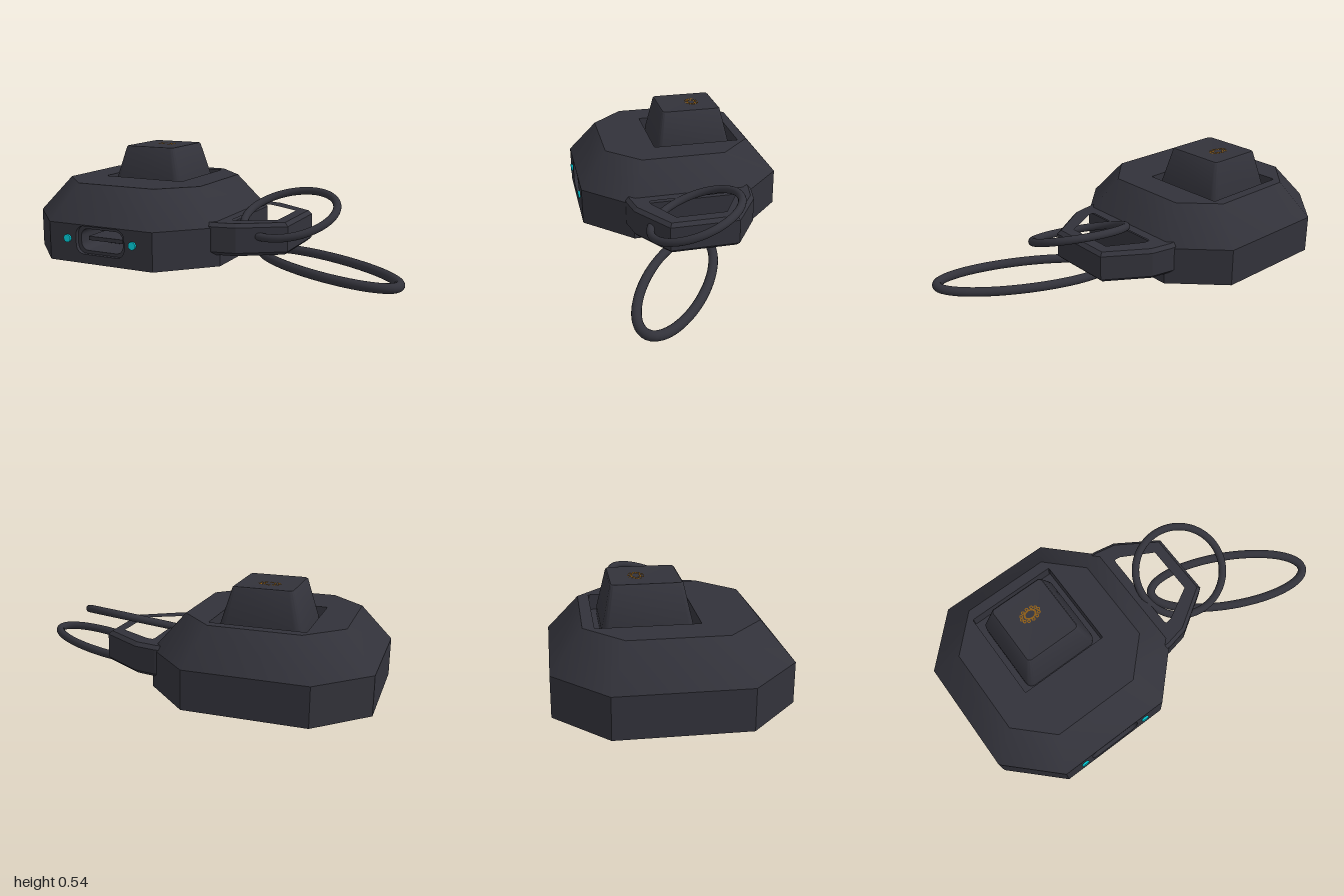
import * as THREE from 'three';
import { toCreasedNormals } from 'three/addons/utils/BufferGeometryUtils.js';

const paint = (name, color, side = THREE.FrontSide) => {
  const m = new THREE.MeshStandardMaterial({ color, side });
  m.name = name;
  return m;
};

// Rectangle with rounded corners (n steps each); n = 1 chamfers, r = half size gives a circle
function outline(hx, hz, r, n = 6, cx = 0, cz = 0) {
  const pts = [];
  [[1, 1], [-1, 1], [-1, -1], [1, -1]].forEach(([sx, sz], q) => {
    for (let i = 0; i <= n; i++) {
      const t = (q + i / n) * Math.PI / 2;
      pts.push([cx + sx * (hx - r) + r * Math.cos(t), cz + sz * (hz - r) + r * Math.sin(t)]);
    }
  });
  return pts;
}

// Skin between [y, outline] sections: rising sections face outward, falling ones inward
function loft(sections, skip = () => false) {
  const pos = [];
  for (let s = 0; s < sections.length - 1; s++) {
    const [y0, lo] = sections[s], [y1, hi] = sections[s + 1];
    for (let i = 0; i < lo.length; i++) {
      if (skip(s, i)) continue;
      const j = (i + 1) % lo.length;
      const a = [lo[i][0], y0, lo[i][1]], b = [lo[j][0], y0, lo[j][1]];
      const c = [hi[j][0], y1, hi[j][1]], d = [hi[i][0], y1, hi[i][1]];
      pos.push(...a, ...d, ...c, ...a, ...c, ...b);
    }
  }
  const g = new THREE.BufferGeometry();
  g.setAttribute('position', new THREE.Float32BufferAttribute(pos, 3));
  g.computeVertexNormals();
  return toCreasedNormals(g, 0.6);
}

const toVectors = pts => pts.map(p => new THREE.Vector2(p[0], p[1]));
function plate(pts, holes = []) {
  const s = new THREE.Shape(toVectors(pts));
  holes.forEach(h => s.holes.push(new THREE.Path(toVectors(h))));
  return new THREE.ShapeGeometry(s);
}

export function createModel() {
  const shell = paint('charcoal plastic', 0x32323a);
  const cyan = paint('cyan light', 0x00d0dc);
  const gold = paint('dark gold', 0x8a5a14, THREE.DoubleSide);

  const model = new THREE.Group();
  model.name = 'keyFob';
  const body = new THREE.Group();
  body.name = 'body';
  body.position.set(-0.46, 0, -0.005);
  model.add(body);
  const add = (parent, name, geo, mat, x = 0, y = 0, z = 0) => {
    const m = new THREE.Mesh(geo, mat);
    m.name = name;
    m.position.set(x, y, z);
    parent.add(m);
    return m;
  };

  // Octagonal case: walls and sloping shoulder, front wall left open for the port plate
  const base = outline(0.54, 0.54, 0.24, 1), deck = outline(0.393, 0.393, 0.17, 1);
  add(body, 'caseWalls', loft([[0, base], [0.195, base], [0.375, deck]], (s, i) => s === 0 && i === 1), shell);

  // Deck with the square well around the button
  const pz = -0.107, well = outline(0.234, 0.234, 0.004, 1, 0, pz);
  add(body, 'caseDeck', plate(deck, [outline(0.234, 0.234, 0.004, 1, 0, -pz)]).rotateX(-Math.PI / 2), shell, 0, 0.375, 0);
  add(body, 'buttonWell', loft([[0.375, well], [0.3, well]]), shell);
  add(body, 'wellFloor', plate(outline(0.234, 0.234, 0.004, 1)).rotateX(-Math.PI / 2), shell, 0, 0.3, pz);

  // Tapered button with a shallow dished top
  const cap = [[0.3, 0.203, 0.205, 0.035], [0.34, 0.203, 0.205, 0.035], [0.532, 0.148, 0.163, 0.02],
    [0.537, 0.143, 0.158, 0.018], [0.533, 0.09, 0.1, 0.018], [0.531, 0.001, 0.001, 0.001]];
  add(body, 'button', loft(cap.map(([y, hx, hz, r]) => [y, outline(hx, hz, r, 6, 0, 0)])), shell, 0, 0, pz + 0.006);

  // Small ornamental rosette on the button
  const rosette = new THREE.Group();
  rosette.name = 'rosette';
  rosette.position.set(-0.003, 0.5355, -0.135);
  body.add(rosette);
  const ring = new THREE.RingGeometry(0.02, 0.028, 24).rotateX(-Math.PI / 2).scale(1.2, 1, 0.85);
  add(rosette, 'rosetteRing', ring, gold);
  const petal = new THREE.RingGeometry(0.004, 0.0095, 10).rotateX(-Math.PI / 2);
  for (let i = 0; i < 12; i++) {
    const t = i * Math.PI / 6;
    add(rosette, 'rosettePetal', petal, gold, 0.048 * Math.cos(t), 0, 0.03 * Math.sin(t));
  }

  // Front wall with the recessed port
  const py = 0.118, lip = outline(0.141, 0.071, 0.045), throat = outline(0.122, 0.055, 0.04);
  const wall = [[-0.3, 0], [0.3, 0], [0.3, 0.195], [-0.3, 0.195]];
  add(body, 'frontWall', plate(wall, [outline(0.141, 0.071, 0.045, 6, 0, py)]), shell, 0, 0, 0.54);
  const port = loft([[0, lip], [-0.02, lip], [-0.02, throat], [-0.2, throat]]).rotateX(Math.PI / 2);
  add(body, 'portSocket', port, shell, 0, py, 0.54);
  add(body, 'portBack', plate(throat), shell, 0, py, 0.34);
  add(body, 'portTongue', new THREE.BoxGeometry(0.2, 0.02, 0.14), shell, 0, py, 0.42);

  // Indicator lights either side of the port
  const led = new THREE.CylinderGeometry(0.02, 0.02, 0.04, 20).rotateX(Math.PI / 2);
  for (const s of [-1, 1]) add(body, 'indicatorLight', led, cyan, s * 0.19, 0.12, 0.53);

  // Underside with two countersunk screw holes
  const rim = outline(0.062, 0.062, 0.062), bore = outline(0.033, 0.033, 0.033);
  const screws = [-0.36, 0.36];
  const under = plate(base, screws.map(x => outline(0.062, 0.062, 0.062, 6, x, 0)));
  add(body, 'underside', under.rotateX(Math.PI / 2), shell);
  for (const x of screws) {
    add(body, 'screwHole', loft([[0.07, bore], [0.035, bore], [0, rim]]), shell, x);
    add(body, 'screwHoleEnd', plate(bore).rotateX(Math.PI / 2), shell, x, 0.07);
  }

  // Lanyard bracket: chamfered frame mirrored about its middle
  const mirrored = half => toVectors([...half, ...half.slice().reverse().map(([x, z]) => [x, -z])]);
  const frame = new THREE.Shape(mirrored([[0.0, 0.335], [0.055, 0.335], [0.17, 0.313], [0.385, 0.175]]));
  frame.holes.push(new THREE.Path(mirrored(
    [[0.09, 0.215], [0.097, 0.235], [0.115, 0.243], [0.15, 0.238], [0.325, 0.142], [0.33, 0.13]])));
  const bracket = new THREE.ExtrudeGeometry(frame, {
    depth: 0.125, bevelEnabled: true, bevelThickness: 0.018, bevelSize: 0.018, bevelOffset: -0.018, bevelSegments: 1
  }).rotateX(-Math.PI / 2);
  add(model, 'lanyardBracket', bracket, shell, 0, 0.078, -0.005);

  // Tilted round ring through the bracket
  const link = add(model, 'linkRing', new THREE.TorusGeometry(0.237, 0.02, 16, 64), shell, 0.345, 0.24, 0.035);
  link.quaternion.setFromUnitVectors(new THREE.Vector3(0, 0, 1), new THREE.Vector3(-0.1, 1, 0.36).normalize());

  // Long oval ring lying flat
  const oval = new THREE.EllipseCurve(0.585, 0.185, 0.434, 0.146, 0, Math.PI * 2, false, 0.47)
    .getPoints(48).slice(0, -1).map(p => new THREE.Vector3(p.x, 0.033, p.y));
  add(model, 'ovalRing', new THREE.TubeGeometry(new THREE.CatmullRomCurve3(oval, true), 96, 0.023, 16, true), shell);

  return model;
}
